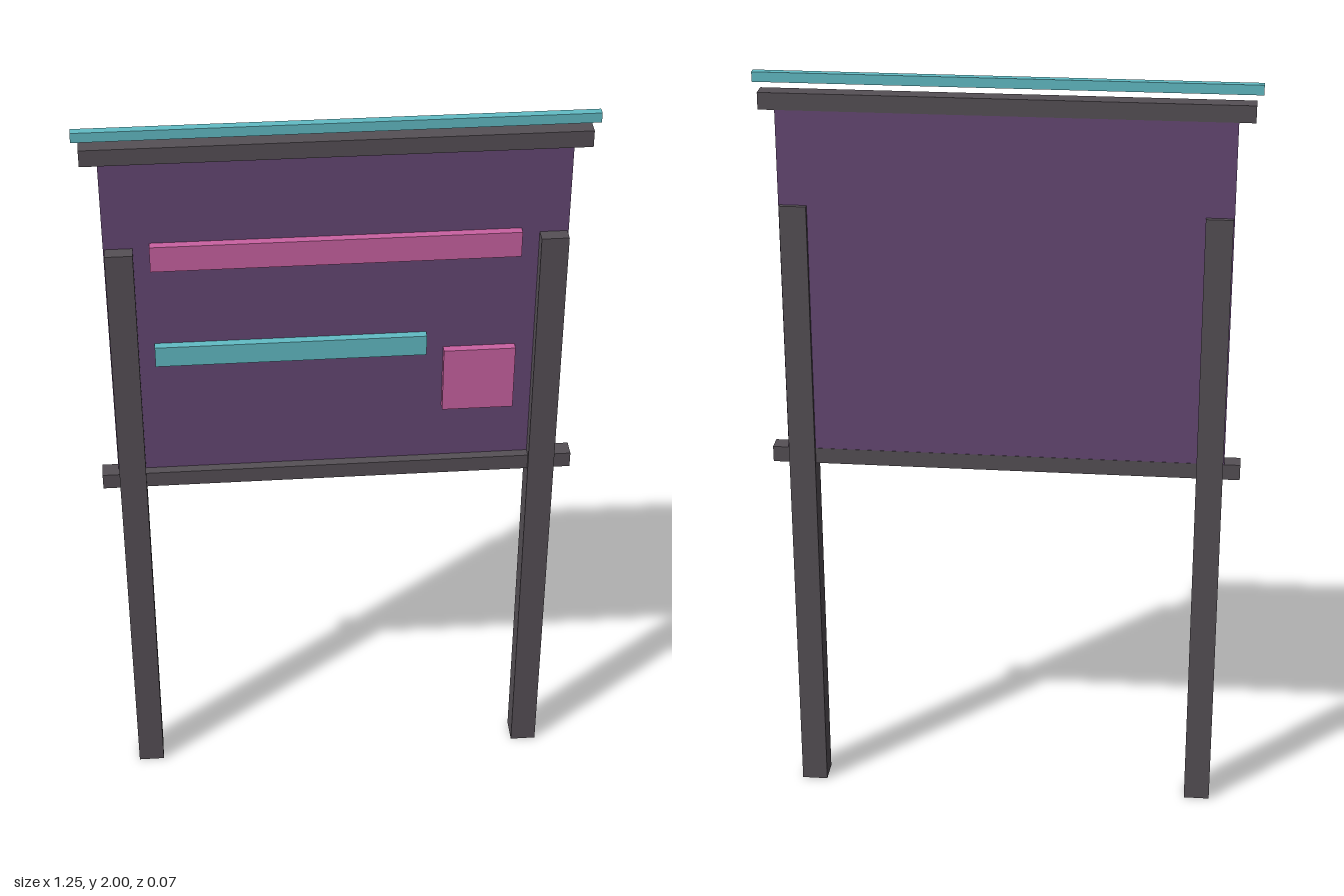
import * as THREE from 'three';

const material = (name, color) => {
  const m = new THREE.MeshStandardMaterial({ color });
  m.name = name;
  return m;
};

export function createModel() {
  const model = new THREE.Group();
  model.name = 'signBoard';
  const metal = material('dark grey metal', 0x565056);
  const purple = material('purple panel', 0x664875);
  const pink = material('pink sign', 0xca62a2);
  const cyan = material('turquoise sign', 0x62bdc6);

  // Box given by its limits on each axis
  const box = (name, mat, [x0, x1], [y0, y1], [z0, z1]) => {
    const mesh = new THREE.Mesh(new THREE.BoxGeometry(x1 - x0, y1 - y0, z1 - z0), mat);
    mesh.position.set((x0 + x1) / 2, (y0 + y1) / 2, (z0 + z1) / 2);
    mesh.name = name;
    model.add(mesh);
  };

  // Two square posts
  box('leftPost', metal, [0.495, 0.563], [0, 1.669], [-0.034, 0.034]);
  box('rightPost', metal, [-0.563, -0.495], [0, 1.669], [-0.034, 0.034]);

  // Board with a rail along its top and bottom
  box('panel', purple, [-0.566, 0.566], [0.99, 1.925], [-0.022, -0.001]);
  box('topRail', metal, [-0.607, 0.607], [1.912, 1.955], [-0.023, 0.023]);
  box('bottomRail', metal, [-0.607, 0.607], [0.964, 1.006], [-0.023, 0.023]);

  // Light strip floating above the top rail
  box('topLightStrip', cyan, [-0.623, 0.623], [1.975, 2], [-0.001, 0.02]);

  // Raised signs on the front of the board
  const face = [-0.001, 0.02];
  box('headlineSign', pink, [-0.455, 0.45], [1.613, 1.682], face);
  box('middleSign', cyan, [-0.455, 0.223], [1.335, 1.391], face);
  box('squareSign', pink, [0.267, 0.448], [1.163, 1.343], face);

  return model;
}
